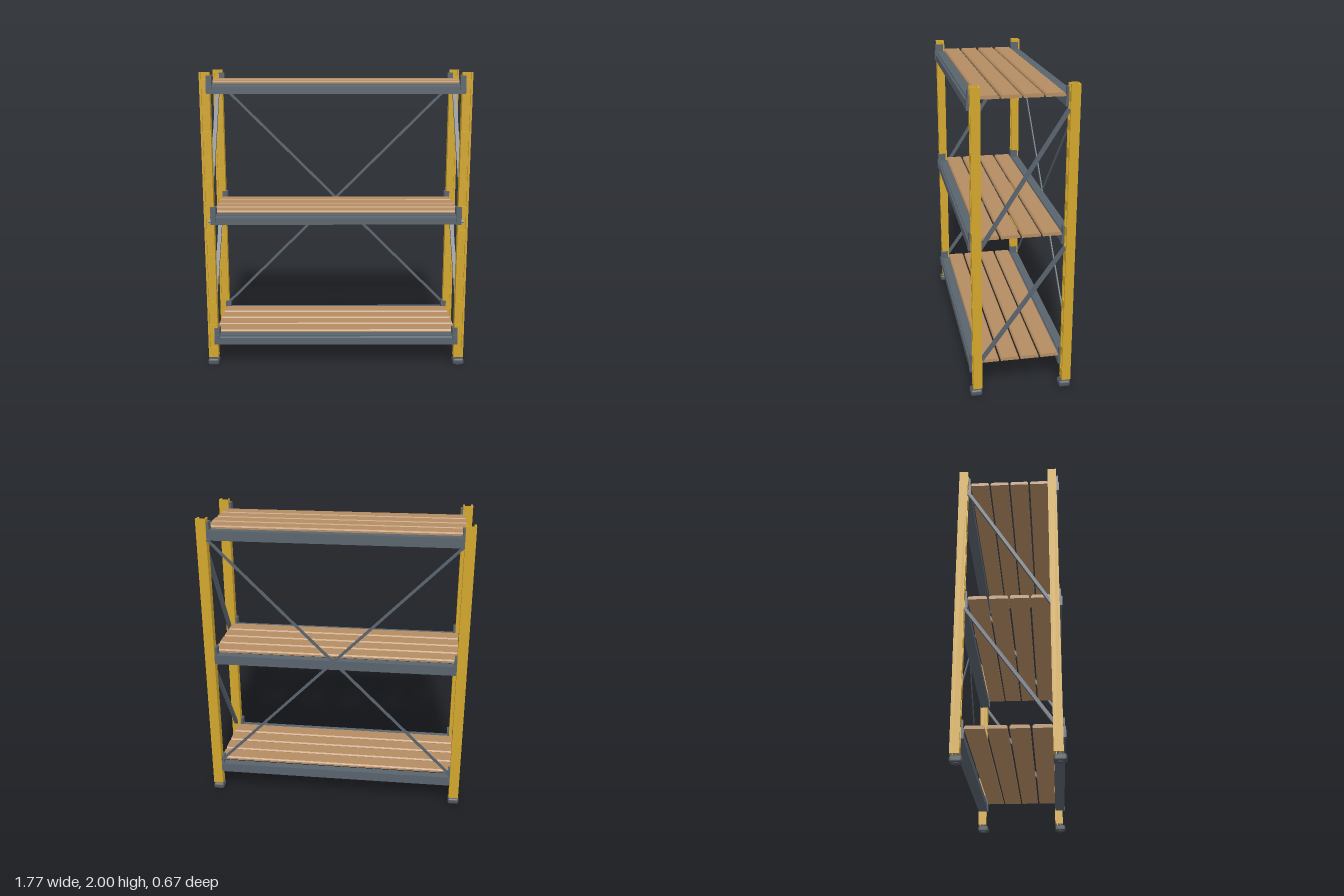
import * as THREE from 'three';
import { RoundedBoxGeometry } from 'three/addons/geometries/RoundedBoxGeometry.js';

const mat = (name, color) => {
  const m = new THREE.MeshStandardMaterial({ color });
  m.name = name;
  return m;
};

export function createModel() {
  const yellow = mat('yellow paint', 0xd2a62c);
  const steel = mat('grey steel', 0x59636d);
  const dark = mat('dark foot', 0x50575f);
  const wood = mat('wood', 0xb48c62);

  const model = new THREE.Group();
  model.name = 'shelvingRack';

  const add = (parent, name, geo, material, x = 0, y = 0, z = 0) => {
    const mesh = new THREE.Mesh(geo, material);
    mesh.name = name;
    mesh.position.set(x, y, z);
    parent.add(mesh);
    return mesh;
  };
  const box = (parent, name, material, w, h, d, x, y, z) =>
    add(parent, name, new THREE.BoxGeometry(w, h, d), material, x, y, z);

  // Straight bar between two points
  const bar = (name, a, b, w, d) => {
    const from = new THREE.Vector3(...a), to = new THREE.Vector3(...b);
    const mid = from.clone().add(to).multiplyScalar(0.5);
    const mesh = box(model, name, steel, w, from.distanceTo(to), d, mid.x, mid.y, mid.z);
    mesh.quaternion.setFromUnitVectors(new THREE.Vector3(0, 1, 0), to.sub(from).normalize());
  };

  const postX = 0.848, postZ = 0.29;
  const bottom = 0.055, top = 2, half = 0.033, wall = 0.008;

  // Front wall of a post: a strip with a row of slots and a notch at the top
  const web = new THREE.Shape();
  [[-half, bottom], [half, bottom], [half, top], [0.02, top], [0.02, 1.955],
    [-0.02, 1.955], [-0.02, top], [-half, top]].forEach(([x, y], i) =>
    i ? web.lineTo(x, y) : web.moveTo(x, y));
  for (let i = 0; i < 11; i++) {
    const y = 0.175 + i * 0.1665, h = 0.0525;
    const slot = new THREE.Path();
    slot.moveTo(-0.02, y - h);
    slot.lineTo(-0.02, y + h);
    slot.lineTo(0.02, y + h);
    slot.lineTo(0.02, y - h);
    slot.closePath();
    web.holes.push(slot);
  }
  const webGeo = new THREE.ExtrudeGeometry(web, { depth: wall, bevelEnabled: false });

  // Four hollow posts, each on a levelling foot
  for (const sx of [-1, 1]) for (const sz of [-1, 1]) {
    const post = new THREE.Group();
    post.name = 'post';
    post.position.set(sx * postX, 0, sz * postZ);
    model.add(post);
    const h = top - bottom, cy = (top + bottom) / 2;
    add(post, 'slottedFront', webGeo, yellow, 0, 0, 0.02 - wall);
    box(post, 'postBack', yellow, half * 2, h, 0.012, 0, cy, -0.031);
    for (const s of [-1, 1])
      box(post, 'postSide', yellow, wall, h, 0.037, s * (half - wall / 2), cy, -0.0065);
    add(post, 'foot', new RoundedBoxGeometry(0.076, 0.042, 0.076, 1, 0.013), dark, 0, 0.024, 0);
    add(post, 'footBase', new THREE.CylinderGeometry(0.024, 0.024, 0.006, 8), dark, 0, 0.003, 0);
    add(post, 'footStem', new THREE.CylinderGeometry(0.018, 0.018, 0.03, 8), dark, 0, 0.05, 0);
  }

  // Stepped beam section, drawn as (z, y) and extruded along x
  const section = new THREE.Shape([[-0.035, 0], [0.033, 0], [0.033, 0.048], [0.022, 0.055],
    [0.022, 0.064], [-0.035, 0.064]].map(([z, y]) => new THREE.Vector2(-z, y)).reverse());
  const beamGeo = new THREE.ExtrudeGeometry(section, { depth: 1.64, bevelEnabled: false });
  beamGeo.translate(0, 0, -0.82);
  beamGeo.rotateY(Math.PI / 2);

  // Board with bevelled top edges
  const boardShape = new THREE.Shape([[-0.059, 0], [0.059, 0], [0.059, 0.013], [0.051, 0.022],
    [-0.051, 0.022], [-0.059, 0.013]].map(([z, y]) => new THREE.Vector2(z, y)));
  const boardGeo = new THREE.ExtrudeGeometry(boardShape, { depth: 1.66, bevelEnabled: false });
  boardGeo.translate(0, 0, -0.83);
  boardGeo.rotateY(Math.PI / 2);

  // Three shelves: beams, end brackets and four boards
  for (const y of [0.153, 1.0, 1.862]) {
    const shelf = new THREE.Group();
    shelf.name = 'shelf';
    shelf.position.y = y;
    model.add(shelf);
    for (const sz of [-1, 1]) {
      const z = sz * postZ;
      add(shelf, 'beam', beamGeo, steel, 0, 0, z);
      for (const sx of [-1, 1]) {
        box(shelf, 'bracketPlate', steel, 0.036, 0.117, 0.01, sx * 0.818, 0.0585, z + 0.026);
        box(shelf, 'bracketLower', steel, 0.036, 0.064, 0.016, sx * 0.818, 0.032, z + 0.029);
        box(shelf, 'bracketSide', steel, 0.014, 0.117, 0.05, sx * 0.807, 0.0585, z);
      }
    }
    for (const z of [-0.195, -0.065, 0.065, 0.195])
      add(shelf, 'board', boardGeo, wood, 0, 0.059, z);
  }

  // Crossed braces at the back and diagonals at both ends
  for (const s of [-1, 1]) {
    bar('backBrace', [-s * 0.81, 1.87, -0.331 + s * 0.002], [s * 0.81, 0.25, -0.331 + s * 0.002], 0.018, 0.008);
    bar('sideBrace', [s * 0.85, 1.0, 0.265], [s * 0.85, 1.85, -0.27], 0.026, 0.02);
    bar('sideBrace', [s * 0.85, 0.23, 0.265], [s * 0.85, 0.985, -0.27], 0.026, 0.02);
  }
  return model;
}
